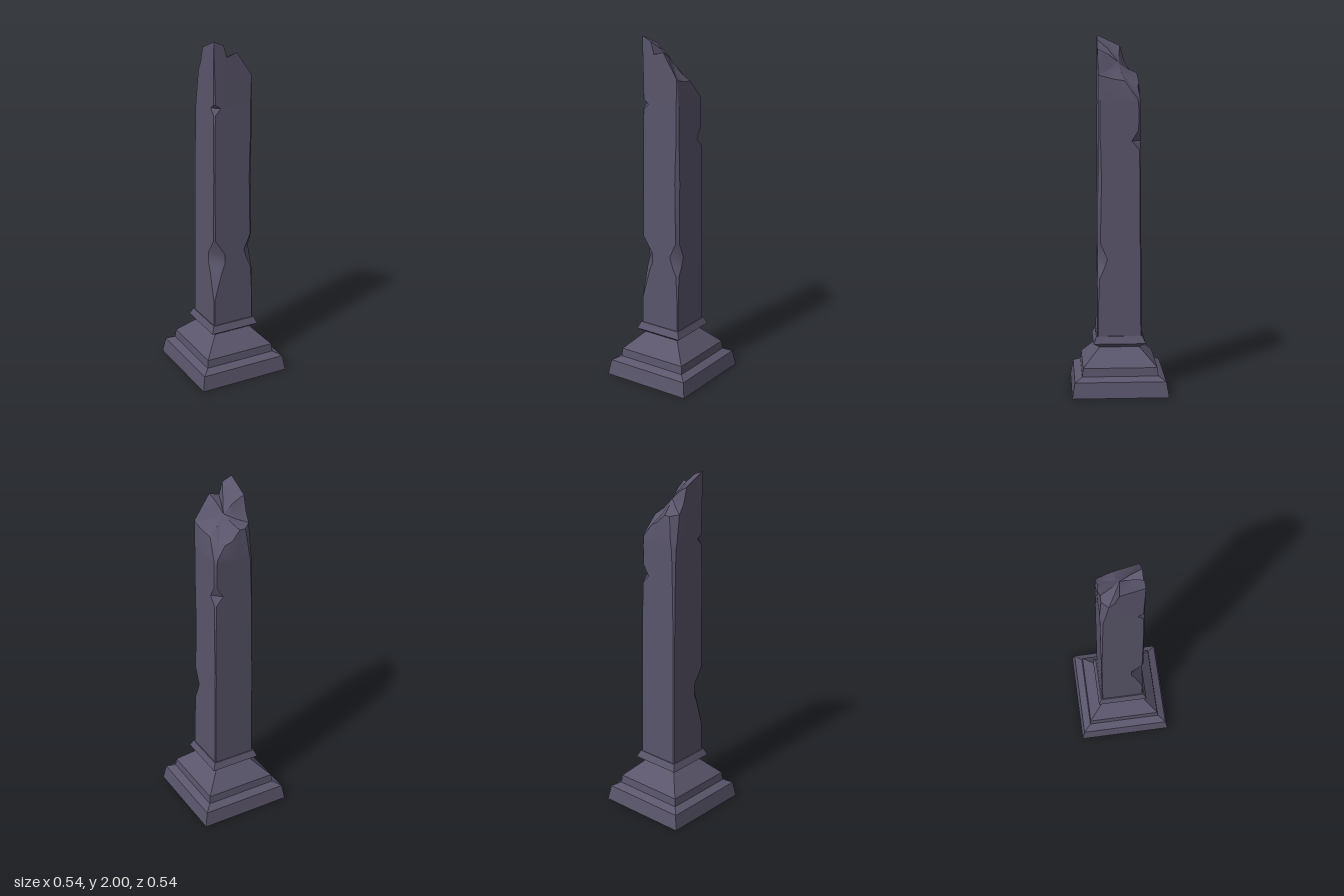
import * as THREE from 'three';
import { toCreasedNormals } from 'three/addons/utils/BufferGeometryUtils.js';

const stone = new THREE.MeshStandardMaterial({ color: 0x5a556b, side: THREE.DoubleSide });
stone.name = 'slate stone';

// Square moulding: profile of [half width, height], turned in four steps
function moulding(name, profile) {
  const pts = profile.map(([h, y]) => new THREE.Vector2(h * Math.SQRT2, y));
  const geo = new THREE.LatheGeometry(pts, 4, Math.PI / 4);
  const mesh = new THREE.Mesh(toCreasedNormals(geo, 0.5), stone);
  mesh.name = name;
  return mesh;
}

// One shaft ring: square with a chamfer at each corner
// (front left, front right, back right, back left) and two points along each side
function shaftRing(y, chamfers) {
  const h = 0.125 - 0.008 * (y - 0.32) / 1.3;
  const ring = [];
  for (let k = 0; k < 4; k++) {
    const c = chamfers[k], d = chamfers[(k + 1) % 4];
    for (const u of [h - c, 0.02, -0.04, -h + d]) {
      let p = [u, h];
      for (let i = 0; i < k; i++) p = [-p[1], p[0]];
      ring.push([p[0], y, p[1]]);
    }
  }
  return ring;
}

function brokenShaft() {
  const e = 0.005;
  const rings = [
    [0.30, e, e, e, e],
    [0.48, e, e, e, e],
    [0.65, 0.012, 0.05, e, e],
    [0.70, 0.035, 0.07, e, e],
    [0.76, 0.055, 0.068, e, e],
    [0.85, 0.015, 0.008, e, 0.006],
    [1.20, 0.02, e, 0.008, 0.006],
    [1.37, 0.015, e, 0.01, 0.008],
    [1.42, 0.012, e, 0.012, 0.05],
    [1.48, 0.01, e, 0.014, 0.012],
    [1.59, 0.01, 0.008, 0.016, 0.01],
    [1.625, 0.01, 0.04, 0.02, 0.012],
    [1.65, 0.01, 0.008, 0.025, 0.015],
  ].map(([y, ...c]) => shaftRing(y, c));

  // Jagged broken rim
  rings.push([
    [0.11, 1.79, 0.117], [0.02, 1.925, 0.117], [-0.04, 1.905, 0.117], [-0.06, 1.975, 0.117],
    [-0.117, 2.0, 0.115], [-0.117, 1.94, -0.015], [-0.117, 1.85, -0.04], [-0.115, 1.80, -0.07],
    [-0.075, 1.79, -0.105], [-0.04, 1.79, -0.105], [0.01, 1.74, -0.115], [0.05, 1.72, -0.105],
    [0.085, 1.70, -0.08], [0.098, 1.75, -0.03], [0.105, 1.76, 0.03], [0.112, 1.78, 0.11],
  ]);
  // Inner fracture ring and centre
  rings.push(rings[rings.length - 1].map(([x, y, z]) => [x * 0.5, 1.85 + (y - 1.85) * 0.6, z * 0.5]));

  const n = 16, pos = rings.flat(2), index = [];
  for (let r = 0; r < rings.length - 1; r++) {
    for (let j = 0; j < n; j++) {
      const a = r * n + j, b = r * n + (j + 1) % n;
      index.push(a, a + n, b + n, a, b + n, b);
    }
  }
  const centre = pos.length / 3, last = centre - n;
  pos.push(0, 1.85, 0);
  for (let j = 0; j < n; j++) index.push(last + j, centre, last + (j + 1) % n);

  const geo = new THREE.BufferGeometry();
  geo.setAttribute('position', new THREE.Float32BufferAttribute(pos, 3));
  geo.setIndex(index);
  const mesh = new THREE.Mesh(toCreasedNormals(geo, 0.6), stone);
  mesh.name = 'brokenShaft';
  return mesh;
}

export function createModel() {
  const group = new THREE.Group();
  group.name = 'brokenColumn';
  // Hollow stepped plinth, open underneath
  group.add(moulding('plinth', [
    [0.27, 0], [0.255, 0.088], [0.213, 0.11], [0.208, 0.157], [0.112, 0.255],
  ]));
  // Flared collar under the shaft
  group.add(moulding('collar', [
    [0.112, 0.255], [0.147, 0.28], [0.13, 0.32], [0.118, 0.32],
  ]));
  group.add(brokenShaft());
  return group;
}
